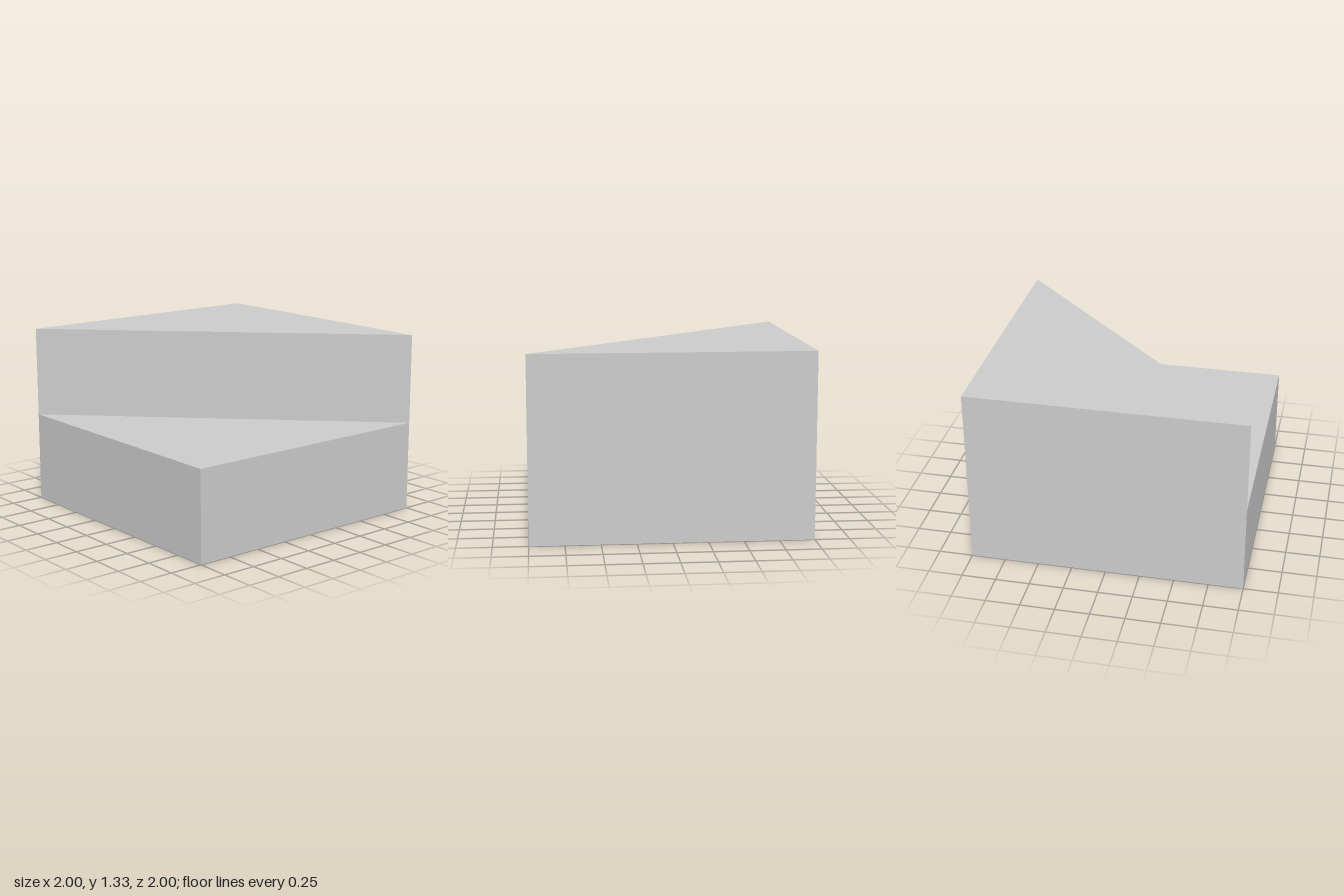
import * as THREE from 'three';

const LOW = 2 / 3, HIGH = 4 / 3;

// Plan corners [x, z], counter-clockwise seen from above
const backLeft = [-1, -1], frontLeft = [-1, 1], frontRight = [1, 1], backRight = [1, -1];

const at = ([x, z], y) => [x, y, z];

// Upright rectangle from corner p to corner q, facing out of the plan loop
const wall = (p, q, y0, y1) => [at(p, y0), at(q, y0), at(q, y1), at(p, y1)];

// Horizontal polygon facing up
const cap = (y, ...corners) => corners.map((c) => at(c, y));

// Flat convex polygons to one flat-shaded geometry, each split as a fan
function polygonGeometry(polygons) {
  const positions = [];
  for (const p of polygons)
    for (let i = 1; i < p.length - 1; i++) positions.push(...p[0], ...p[i], ...p[i + 1]);
  const geometry = new THREE.BufferGeometry();
  geometry.setAttribute('position', new THREE.Float32BufferAttribute(positions, 3));
  geometry.computeVertexNormals();
  return geometry;
}

export function createModel() {
  const group = new THREE.Group();
  group.name = 'steppedBlock';
  const material = new THREE.MeshStandardMaterial({ color: 0xcccccc, flatShading: true });
  const add = (name, polygons) => {
    const mesh = new THREE.Mesh(polygonGeometry(polygons), material);
    mesh.name = name;
    group.add(mesh);
  };

  // Low triangular half at the front
  add('lowerStep', [
    cap(LOW, backLeft, frontLeft, frontRight),
    wall(backLeft, frontLeft, 0, LOW),
    wall(frontLeft, frontRight, 0, LOW),
  ]);

  // Tall triangular half at the back, with the diagonal riser above the step
  add('upperStep', [
    cap(HIGH, frontRight, backRight, backLeft),
    wall(frontRight, backRight, 0, HIGH),
    wall(backRight, backLeft, 0, HIGH),
    wall(backLeft, frontRight, LOW, HIGH),
  ]);

  // Shared square underside, facing down
  add('underside', [cap(0, backLeft, backRight, frontRight, frontLeft)]);

  return group;
}
